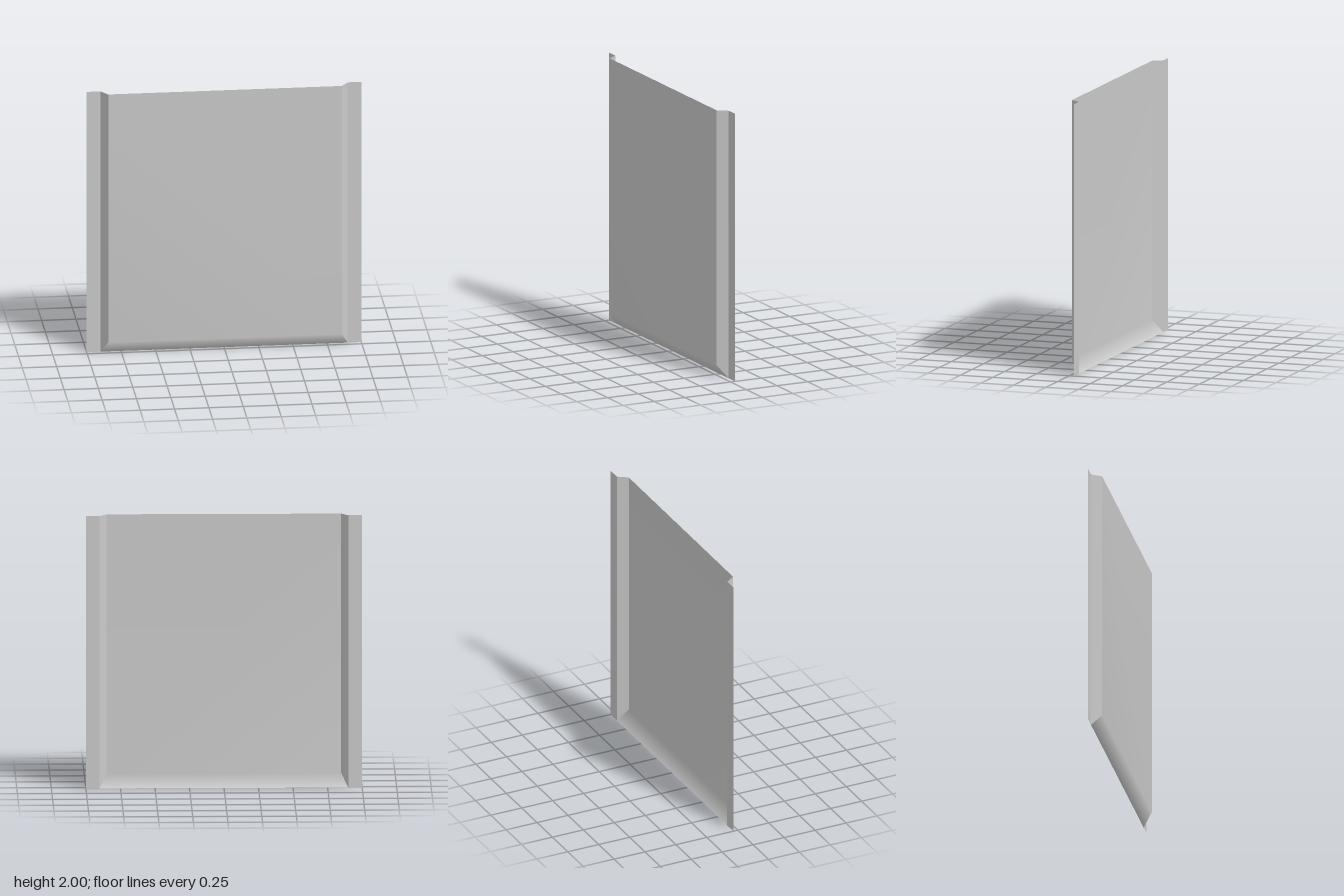
import * as THREE from 'three';

const TOP = 2, FOLD = 0.094, D = 0.036; // height, lower fold line, half depth
const INNER = 0.85, OUTER = 0.9, EDGE = 1; // half widths of the folds

const material = new THREE.MeshStandardMaterial({ color: 0xcccccc, side: THREE.DoubleSide });

// Sheet from rows of [left, right] point pairs, top to bottom; normals are shared along it
function sheet(name, rows) {
  const geometry = new THREE.BufferGeometry();
  geometry.setAttribute('position', new THREE.Float32BufferAttribute(rows.flat(2), 3));
  const index = [];
  for (let i = 0; i < rows.length - 1; i++) {
    const a = i * 2;
    index.push(a, a + 2, a + 3, a, a + 3, a + 1);
  }
  geometry.setIndex(index);
  geometry.computeVertexNormals();
  const mesh = new THREE.Mesh(geometry, material);
  mesh.name = name;
  return mesh;
}

export function createModel() {
  const group = new THREE.Group();
  group.name = 'foldedPanel';

  // Raised panel, running softly into the sloped lower lip
  group.add(sheet('panelWithLowerLip', [
    [[-INNER, TOP, D], [INNER, TOP, D]],
    [[-INNER, FOLD, D], [INNER, FOLD, D]],
    [[-OUTER, 0, -D], [OUTER, 0, -D]],
  ]));

  // Sloped cheeks and flat flanges on both sides
  for (const [side, s] of [['left', 1], ['right', -1]]) {
    const order = (row) => (s > 0 ? row : row.reverse());
    group.add(sheet(side + 'Cheek', [
      order([[s * INNER, TOP, D], [s * OUTER, TOP, -D]]),
      order([[s * INNER, FOLD, D], [s * OUTER, 0, -D]]),
    ]));
    group.add(sheet(side + 'Flange', [
      order([[s * OUTER, TOP, -D], [s * EDGE, TOP, -D]]),
      order([[s * OUTER, 0, -D], [s * EDGE, 0, -D]]),
    ]));
  }
  return group;
}
